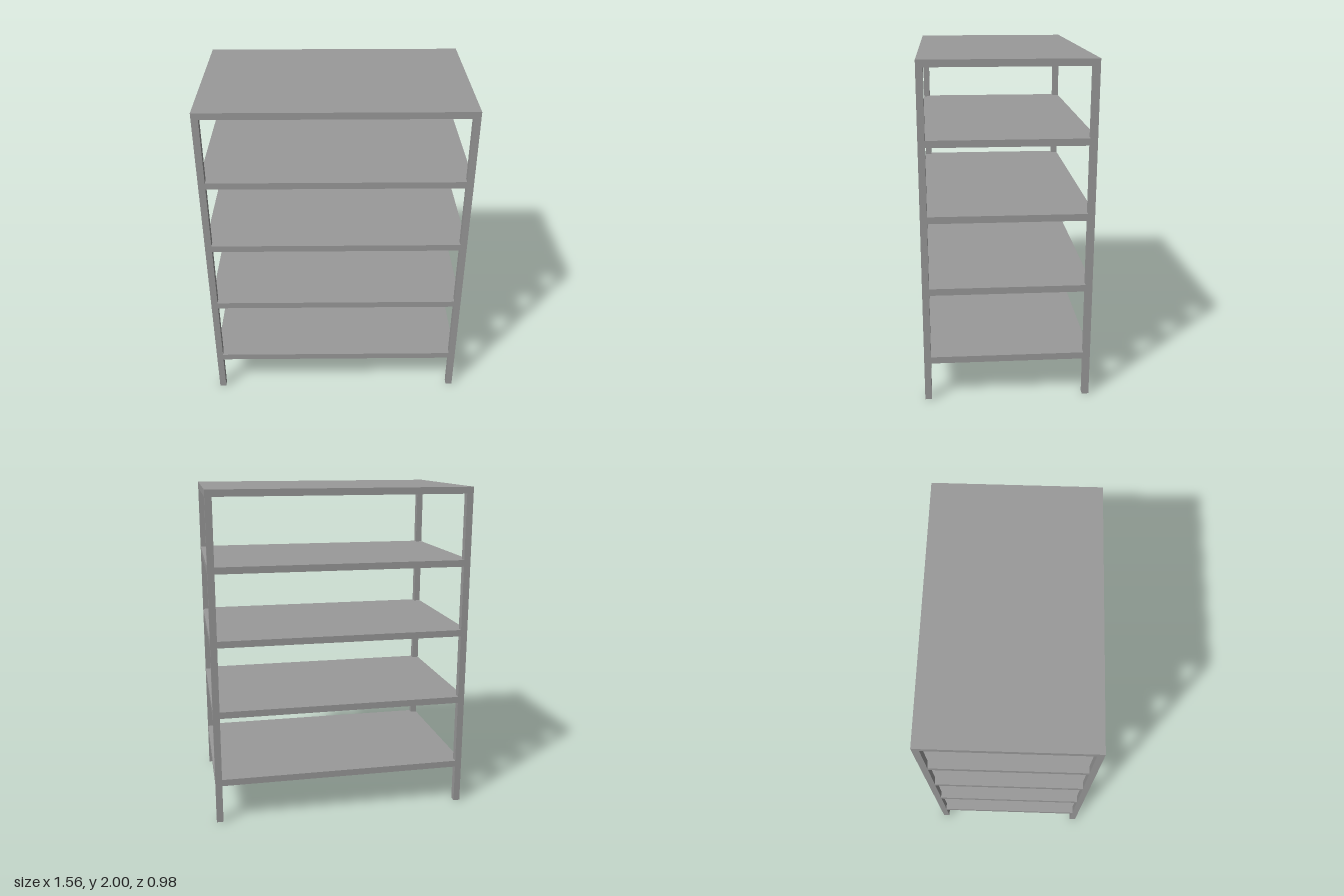
import * as THREE from 'three';

const HX = 0.782, HZ = 0.49, T = 0.04; // half width, half depth, bar thickness
const HEIGHT = 2, SHELVES = 5, SPACING = 0.431;

// Slab with its corners notched out so it sits flush between the posts
function shelfGeometry() {
  const ix = HX - T, iz = HZ - T;
  const outline = [
    [ix, -HZ], [ix, -iz], [HX, -iz], [HX, iz], [ix, iz], [ix, HZ],
    [-ix, HZ], [-ix, iz], [-HX, iz], [-HX, -iz], [-ix, -iz], [-ix, -HZ],
  ].map(([x, y]) => new THREE.Vector2(x, y));
  const geometry = new THREE.ExtrudeGeometry(new THREE.Shape(outline), { depth: T, bevelEnabled: false });
  return geometry.rotateX(-Math.PI / 2);
}

export function createModel() {
  const group = new THREE.Group();
  group.name = 'shelvingUnit';
  const metal = new THREE.MeshStandardMaterial({ color: 0x999999 });
  metal.name = 'grey metal';

  // Shelves, evenly spaced down from the top
  const slab = shelfGeometry();
  for (let i = 0; i < SHELVES; i++) {
    const shelf = new THREE.Mesh(slab, metal);
    shelf.name = `shelf${SHELVES - i}`;
    shelf.position.y = HEIGHT - T - i * SPACING;
    group.add(shelf);
  }

  // Corner posts
  const bar = new THREE.BoxGeometry(T, HEIGHT, T);
  for (const [side, sx] of [['Left', 1], ['Right', -1]]) {
    for (const [end, sz] of [['front', 1], ['back', -1]]) {
      const post = new THREE.Mesh(bar, metal);
      post.name = `${end}${side}Post`;
      post.position.set(sx * (HX - T / 2), HEIGHT / 2, sz * (HZ - T / 2));
      group.add(post);
    }
  }
  return group;
}
